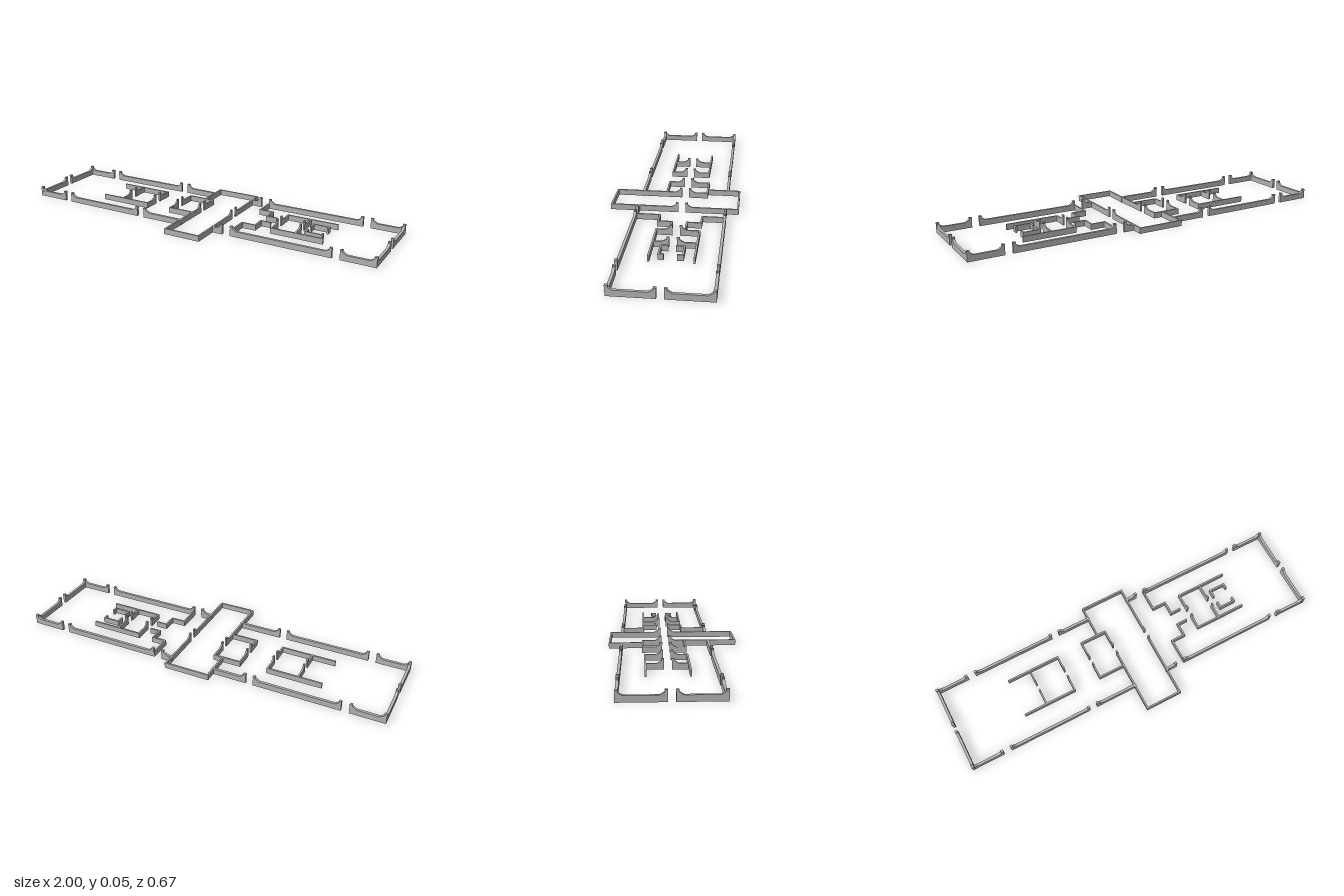
import * as THREE from 'three';

const H = 0.03, POST = 0.045, TOP = 0.053;

export function createModel() {
  const model = new THREE.Group();
  const stone = new THREE.MeshStandardMaterial({ color: 0xb2b2b2 });
  stone.name = 'grey stone';

  // Wall profile along its length; ends marked true sweep up to a capped post
  function profile(a, b, riseA, riseB) {
    const pts = [[a, 0], [b, 0]];
    const end = (p, d) => [
      [p, POST - 0.002], [p - 0.001 * d, POST], [p - 0.001 * d, TOP], [p + 0.013 * d, TOP],
      [p + 0.013 * d, TOP - 0.004], [p + 0.011 * d, POST], [p + 0.02 * d, 0.038], [p + 0.034 * d, H],
    ];
    pts.push(...(riseB ? end(b, -1) : [[b, H]]));
    pts.push(...(riseA ? end(a, 1).reverse() : [[a, H]]));
    return new THREE.Shape(pts.map(([x, y]) => new THREE.Vector2(x, y)));
  }

  // One straight wall: axis it runs along, its fixed coordinate, start, end
  function wall(name, axis, at, a, b, riseA = false, riseB = false, t = 0.009) {
    const s = profile(riseA ? a : a - t / 2, riseB ? b : b + t / 2, riseA, riseB);
    const geo = new THREE.ExtrudeGeometry(s, { depth: t, bevelEnabled: false });
    geo.translate(0, 0, -t / 2);
    if (axis === 'z') geo.rotateY(-Math.PI / 2);
    geo.translate(axis === 'z' ? at : 0, 0, axis === 'x' ? at : 0);
    const mesh = new THREE.Mesh(geo, stone);
    mesh.name = name;
    model.add(mesh);
  }

  const FRONT = 0.188, BACK = -0.268, T = 0.014;

  // Long outer walls, broken by gateways
  for (const z of [FRONT, BACK]) {
    for (const [a, b] of [[-0.999, -0.82], [-0.78, -0.325], [0.24, 0.78], [0.82, 0.999]])
      wall('outerLongWall', 'x', z, a, b, true, true, T);
    wall('outerLongWall', 'x', z, -0.285, z > 0 ? -0.057 : -0.104, true, false, T);
    wall('outerLongWall', 'x', z, 0.137, 0.195, false, true, T);
  }

  // Short outer walls, each with a central gateway
  for (const x of [-0.992, 0.992]) {
    wall('outerEndWall', 'z', x, BACK - 0.006, -0.056, true, true, T);
    wall('outerEndWall', 'z', x, -0.022, FRONT + 0.008, true, true, T);
  }

  // A cross wall split by a doorway with raised jambs
  const doorWall = (name, x, z0, z1) => {
    wall(name, 'z', x, z0, -0.058, false, true);
    wall(name, 'z', x, -0.021, z1, true, false);
  };

  // Central hall projecting beyond the long walls
  doorWall('hallRightWall', 0.136, -0.331, 0.331);
  wall('hallBackWall', 'x', -0.331, -0.103, 0.136);
  wall('hallFrontWall', 'x', 0.331, -0.057, 0.136);
  wall('hallLeftWall', 'z', -0.103, -0.331, -0.157);
  doorWall('hallDoorWall', -0.057, -0.157, 0.331);

  // Antechamber beside the hall
  wall('antechamberBackWall', 'x', -0.157, -0.2, -0.057);
  wall('antechamberFrontWall', 'x', 0.062, -0.2, -0.057);
  doorWall('antechamberDoorWall', -0.2, -0.157, 0.062);

  // West chamber
  wall('westChamberBackWall', 'x', -0.146, -0.637, -0.35);
  wall('westChamberFrontWall', 'x', 0.062, -0.637, -0.35);
  for (const x of [-0.515, -0.35]) doorWall('westChamberDoorWall', x, -0.146, 0.062);

  // Stepped passage walls
  wall('passageWall', 'z', 0.241, BACK, -0.154);
  wall('passageWall', 'x', -0.154, 0.241, 0.315);
  wall('passageWall', 'z', 0.315, -0.154, -0.083);
  wall('passageWall', 'x', -0.083, 0.315, 0.367);
  wall('passageWall', 'z', 0.241, 0.062, FRONT);
  wall('passageWall', 'x', 0.062, 0.241, 0.315);
  wall('passageWall', 'z', 0.315, -0.009, 0.062);
  wall('passageWall', 'x', -0.009, 0.315, 0.367);

  // East chamber
  wall('eastChamberBackWall', 'x', -0.154, 0.405, 0.68);
  wall('eastChamberFrontWall', 'x', 0.058, 0.405, 0.68);
  for (const x of [0.405, 0.534]) doorWall('eastChamberDoorWall', x, -0.154, 0.058);

  // Small shrine inside the east chamber
  wall('shrineBackWall', 'x', -0.099, 0.572, 0.658);
  wall('shrineFrontWall', 'x', 0.014, 0.572, 0.658);
  wall('shrineDoorWall', 'z', 0.572, -0.099, -0.062);
  wall('shrineDoorWall', 'z', 0.572, -0.018, 0.014);
  wall('shrineEndWall', 'z', 0.658, -0.099, -0.077);
  wall('shrineEndWall', 'z', 0.658, -0.006, 0.014);

  return model;
}
